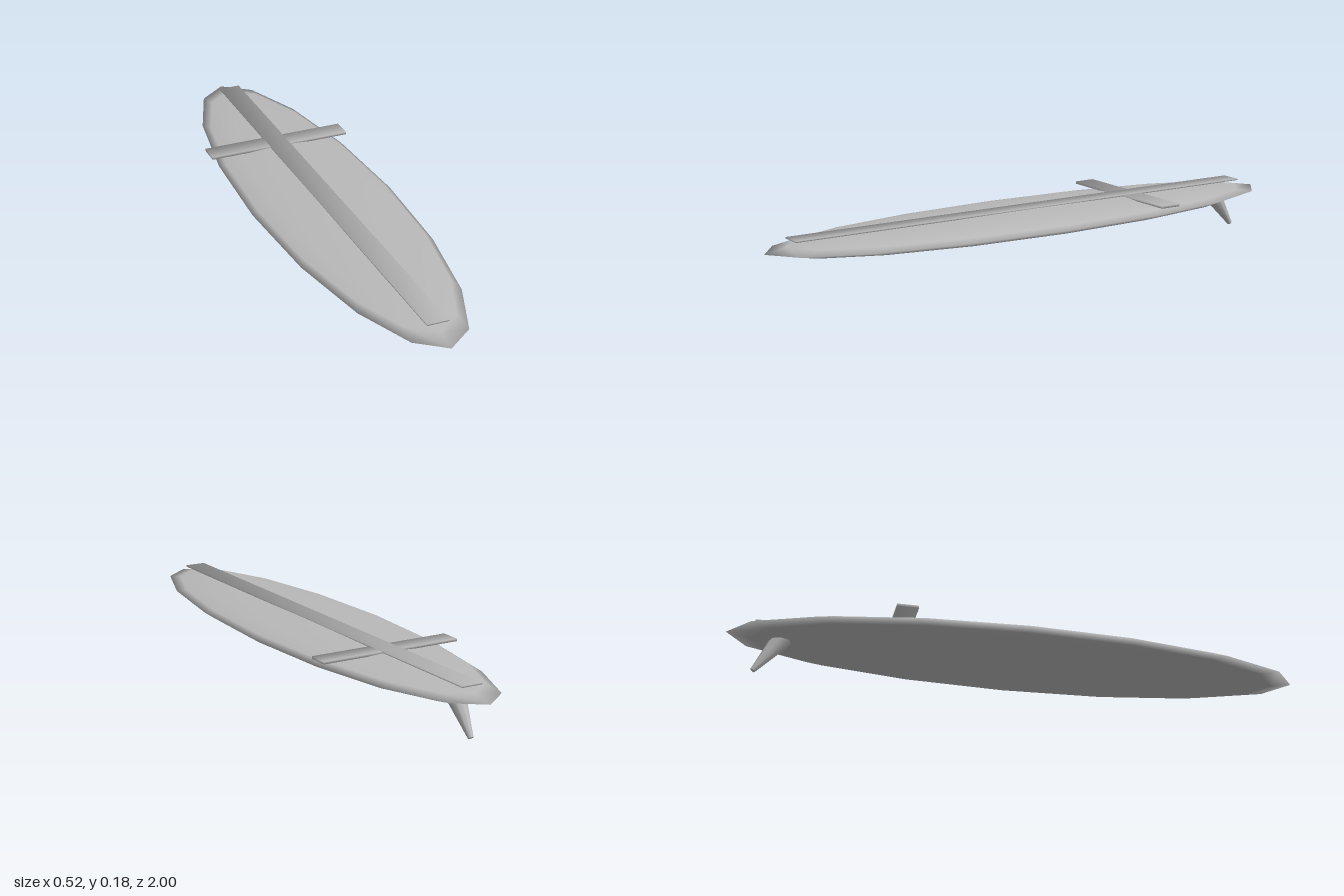
import * as THREE from 'three';

const grey = new THREE.MeshStandardMaterial({ color: 0xb8b8b8 });
grey.name = 'light grey';

function part(name, geometry, x, y, z) {
  const mesh = new THREE.Mesh(geometry, grey);
  mesh.name = name;
  mesh.position.set(x, y, z);
  return mesh;
}

// Thin strip whose corner normals are averaged, so it shades softly
function softBox(w, h, d) {
  const geometry = new THREE.BoxGeometry(w, h, d);
  const p = geometry.attributes.position;
  const n = geometry.attributes.normal;
  const v = new THREE.Vector3();
  for (let i = 0; i < p.count; i++) {
    v.set(Math.sign(p.getX(i)), Math.sign(p.getY(i)), Math.sign(p.getZ(i))).normalize();
    n.setXYZ(i, v.x, v.y, v.z);
  }
  return geometry;
}

export function createModel() {
  const model = new THREE.Group();
  model.name = 'surfboard';

  // Board: a flattened, long sixteen-sided ellipsoid
  const hull = new THREE.SphereGeometry(1, 16, 8).scale(0.256, 0.036, 1);
  model.add(part('board', hull, 0, 0.14, 0));

  // Stripes lying on the deck
  model.add(part('longStripe', softBox(0.075, 0.005, 1.81), 0, 0.176, 0));
  model.add(part('crossStripe', softBox(0.516, 0.009, 0.074), 0, 0.1725, -0.423));

  // Fin: tapered peg, swept backwards, rooted inside the board
  const length = 0.16;
  const sweep = 0.63;
  const finGeometry = new THREE.CylinderGeometry(0.036, 0.009, length, 8)
    .translate(0, length / 2, 0)
    .rotateX(sweep);
  model.add(part('fin', finGeometry, 0, 0.0055, -0.903));

  return model;
}
